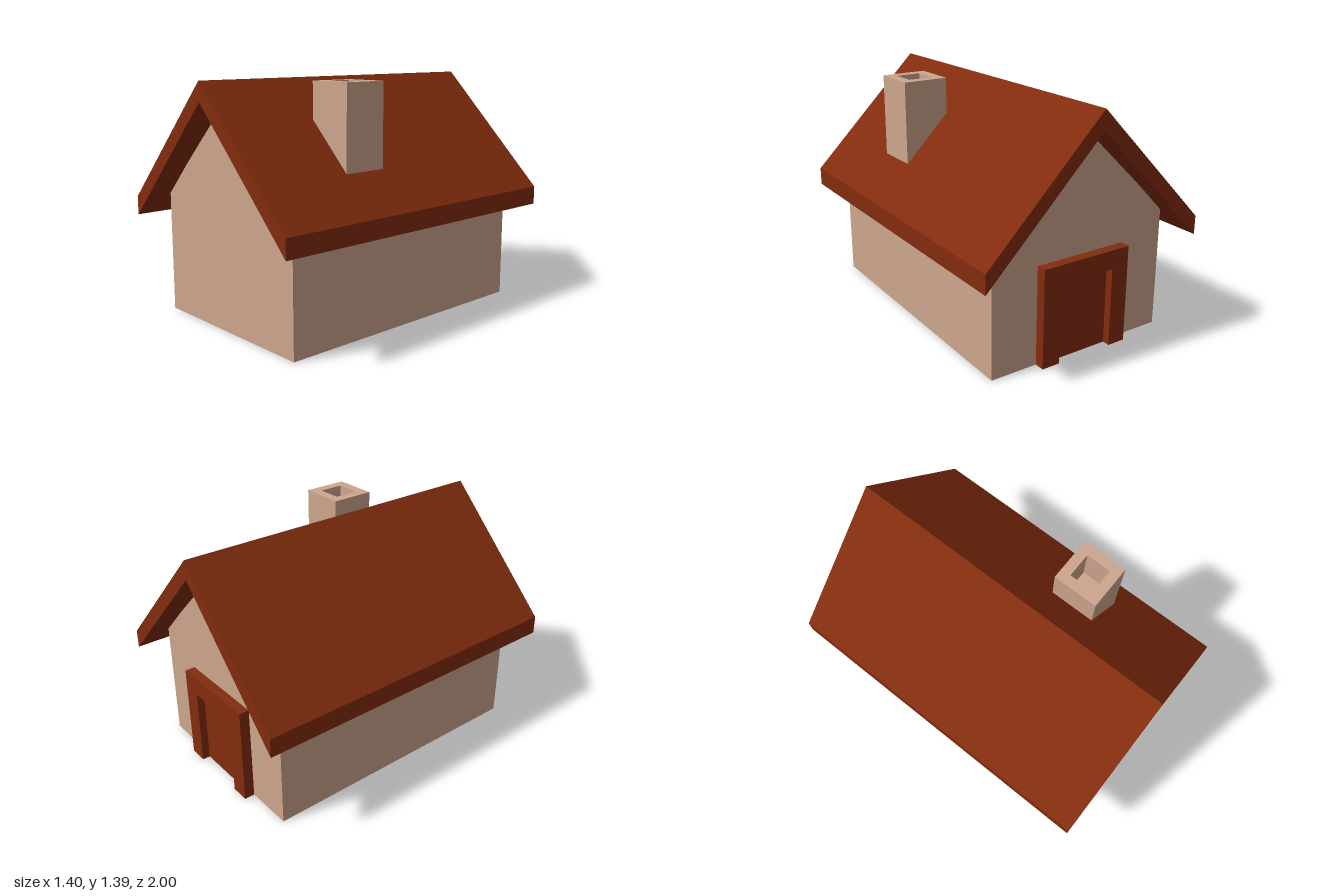
import * as THREE from 'three';

const material = (color) => new THREE.MeshStandardMaterial({ color, flatShading: true });

// Extrude a closed outline along z, centred on z = 0
function prism(points, depth, hole) {
  const toVectors = (list) => list.map(([x, y]) => new THREE.Vector2(x, y));
  const shape = new THREE.Shape(toVectors(points));
  if (hole) shape.holes.push(new THREE.Path(toVectors(hole)));
  const geometry = new THREE.ExtrudeGeometry(shape, { depth, bevelEnabled: false });
  return geometry.translate(0, 0, -depth / 2);
}

const square = (h) => [[-h, -h], [h, -h], [h, h], [-h, h]];

export function createModel() {
  const house = new THREE.Group();
  house.name = 'house';
  const plaster = material(0xcda68e);
  const brown = material(0x832c0e);

  const add = (parent, name, geometry, mat, x = 0, y = 0, z = 0) => {
    const mesh = new THREE.Mesh(geometry, mat);
    mesh.name = name;
    mesh.position.set(x, y, z);
    parent.add(mesh);
    return mesh;
  };

  // Gabled body
  add(house, 'walls', prism(
    [[-0.57, 0], [0.57, 0], [0.57, 0.72], [0, 1.26], [-0.57, 0.72]], 1.71), plaster);

  // Overhanging roof with plumb-cut eaves
  add(house, 'roof', prism(
    [[-0.7, 0.58], [0, 1.28], [0.7, 0.58], [0.7, 0.69], [0, 1.39], [-0.7, 0.69]], 2), brown);

  // Chimney: solid base and a hollow top
  const chimney = new THREE.Group();
  chimney.name = 'chimney';
  chimney.position.set(0.355, 0, 0.285);
  house.add(chimney);
  const topDepth = 0.22, top = 1.38, base = 0.85;
  const baseHeight = top - topDepth - base;
  add(chimney, 'chimneyBase', new THREE.BoxGeometry(0.27, baseHeight, 0.27), plaster,
    0, base + baseHeight / 2, 0);
  const collar = prism(square(0.135), topDepth, square(0.075)).rotateX(-Math.PI / 2);
  add(chimney, 'chimneyTop', collar, plaster, 0, top - topDepth / 2, 0);

  // Doorway on the back gable: frame with a recessed door
  const doorway = new THREE.Group();
  doorway.name = 'doorway';
  house.add(doorway);
  add(doorway, 'doorFrame', prism([
    [-0.285, 0], [-0.175, 0], [-0.175, 0.465], [0.175, 0.465],
    [0.175, 0], [0.285, 0], [0.285, 0.575], [-0.285, 0.575]], 0.08), brown, 0, 0, -0.875);
  add(doorway, 'door', new THREE.BoxGeometry(0.35, 0.465, 0.04), brown, 0, 0.2325, -0.85);

  return house;
}
